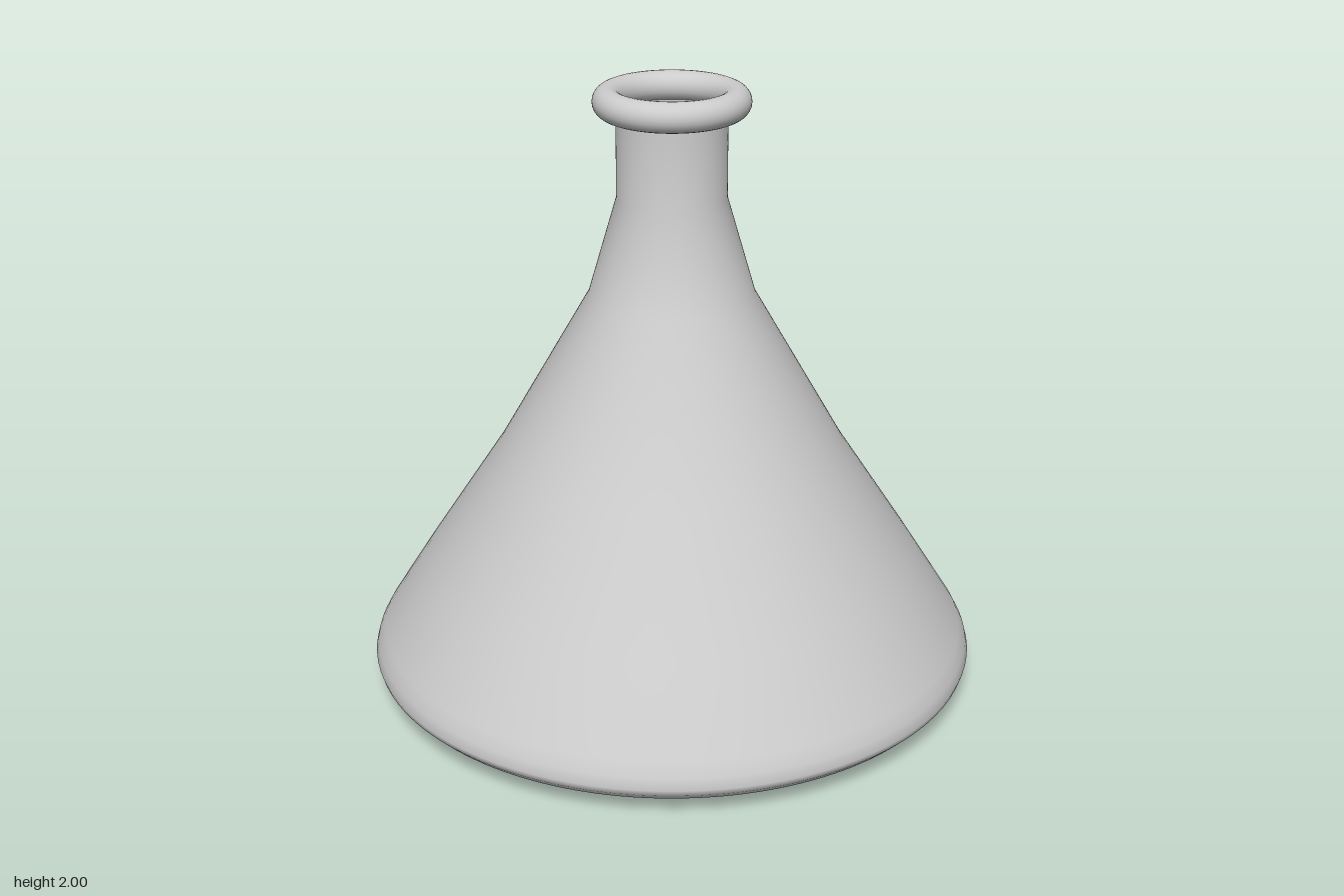
import * as THREE from 'three';

export function createModel() {
  const group = new THREE.Group();
  group.name = 'conicalFlask';
  const glass = new THREE.MeshStandardMaterial({ color: 0xcccccc, side: THREE.DoubleSide });

  // Thin-walled body: flat base, rounded heel, cone, shoulder and neck
  const profile = [
    [0, 0], [0.74, 0.003], [0.83, 0.015], [0.91, 0.033], [0.965, 0.06], [0.99, 0.085],
    [0.996, 0.105], [0.987, 0.14], [0.964, 0.185], [0.81, 0.43],
    [0.565, 0.805], [0.267, 1.327], [0.175, 1.645], [0.175, 1.95],
  ].map(([r, y]) => new THREE.Vector2(r, y));
  const body = new THREE.Mesh(new THREE.LatheGeometry(profile, 96), glass);
  body.name = 'body';
  group.add(body);

  // Rolled lip around the mouth
  const lip = new THREE.Mesh(new THREE.TorusGeometry(0.2, 0.048, 24, 96), glass);
  lip.name = 'lip';
  lip.rotation.x = -Math.PI / 2;
  lip.position.y = 1.952;
  group.add(lip);

  return group;
}
